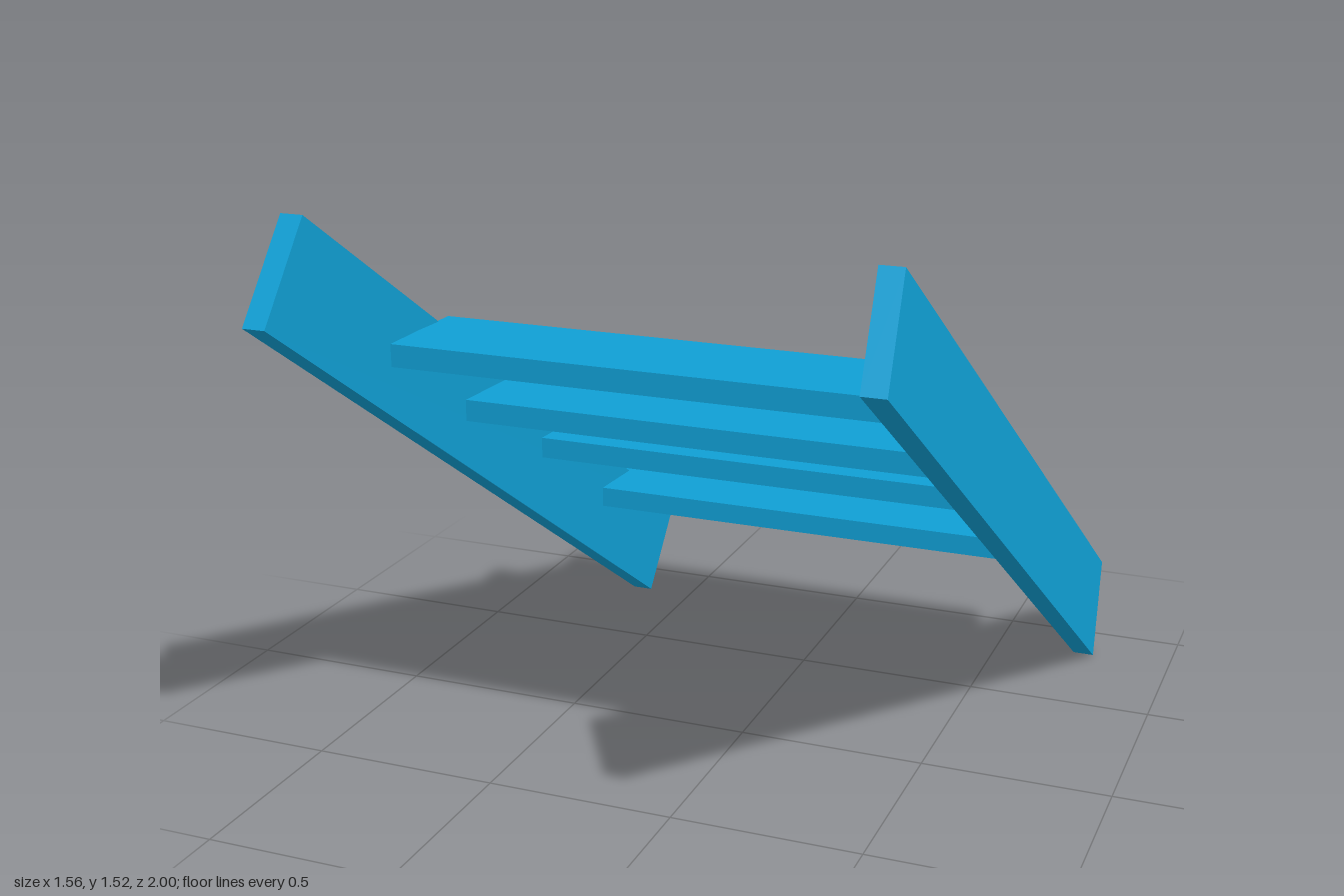
import * as THREE from 'three';

const material = new THREE.MeshStandardMaterial({ color: 0x109fd4, flatShading: true });

// Sloping plank: a box whose four profile corners are moved to [x centre, y, z]
function rail(name, { topFront, bottomFront, topBack, bottomBack }) {
  const geometry = new THREE.BoxGeometry(0.057, 1, 1);
  const p = geometry.attributes.position;
  for (let i = 0; i < p.count; i++) {
    const top = p.getY(i) > 0;
    const front = p.getZ(i) > 0;
    const [x, y, z] = front ? (top ? topFront : bottomFront) : (top ? topBack : bottomBack);
    p.setXYZ(i, p.getX(i) + x, y, z);
  }
  geometry.computeVertexNormals();
  const mesh = new THREE.Mesh(geometry, material);
  mesh.name = name;
  return mesh;
}

export function createModel() {
  const group = new THREE.Group();
  group.name = 'stairs';

  // Side rails, both skewed a little the same way as they rise
  group.add(rail('rightRail', {
    topFront: [-0.743, 1.525, 0.84],
    bottomFront: [-0.755, 1.3, 1],
    topBack: [-0.65, 0.23, -1],
    bottomBack: [-0.66, 0, -0.838],
  }));
  group.add(rail('leftRail', {
    topFront: [0.638, 1.525, 0.84],
    bottomFront: [0.655, 1.3, 1],
    topBack: [0.732, 0.23, -1],
    bottomBack: [0.751, 0, -0.838],
  }));

  // Level treads, from lowest to highest: [y, z] centres
  const treads = [[0.413, -0.67], [0.674, -0.32], [0.892, 0.063], [1.127, 0.4]];
  treads.forEach(([y, z], i) => {
    const tread = new THREE.Mesh(new THREE.BoxGeometry(1.356, 0.057, 0.282), material);
    tread.position.set(-0.015, y, z);
    tread.name = `tread${i + 1}`;
    group.add(tread);
  });

  return group;
}
